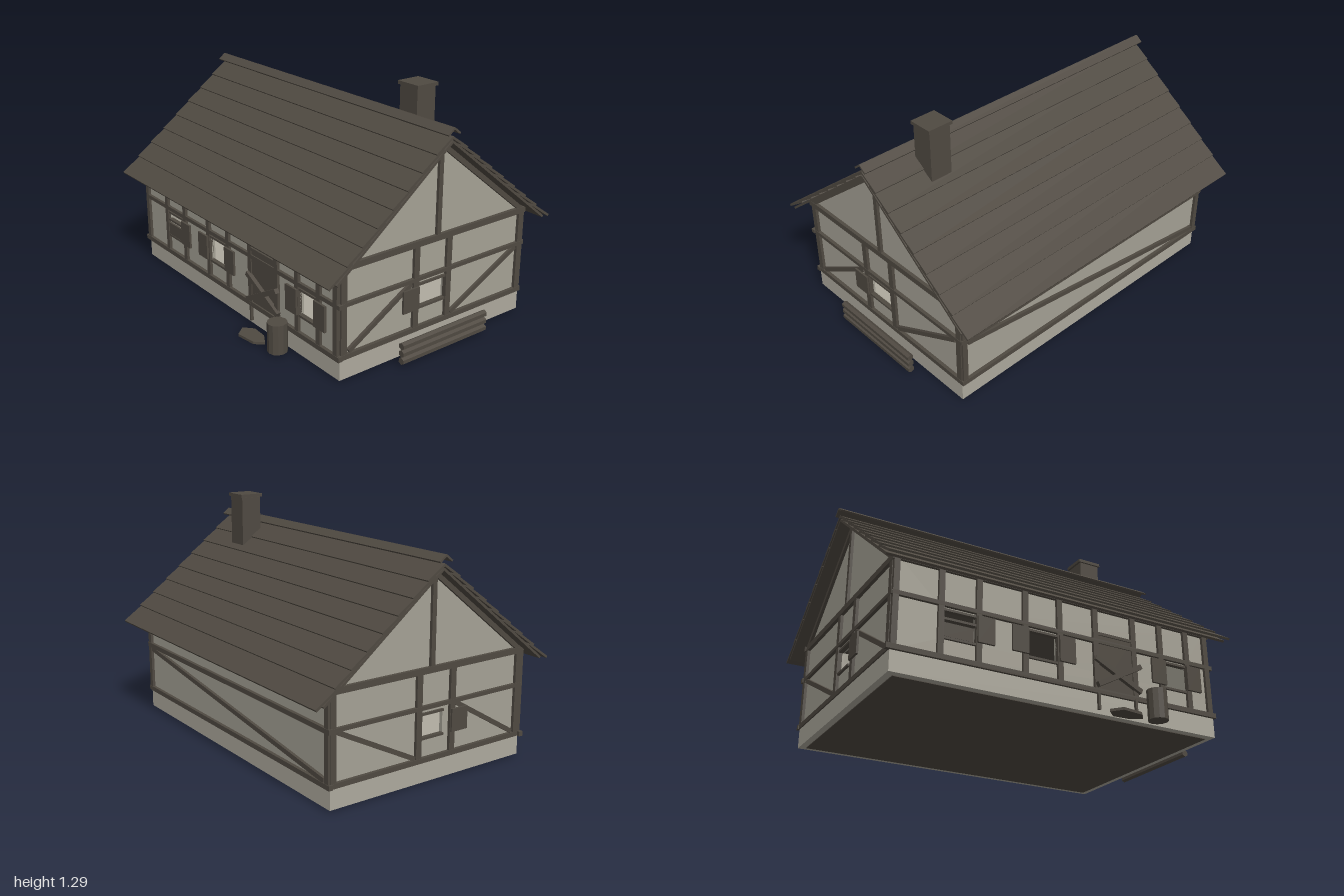
import * as THREE from 'three';

const mat = (name, color) => {
  const m = new THREE.MeshStandardMaterial({ color });
  m.name = name;
  return m;
};

export function createModel() {
  const wood = mat('dark wood', 0x504a42);
  const plaster = mat('plaster', 0xa6a296);
  const stone = mat('foundation stone', 0xaeaa9e);
  const house = new THREE.Group();
  house.name = 'timberHouse';

  const add = (parent, name, geo, material, x = 0, y = 0, z = 0) => {
    const m = new THREE.Mesh(geo, material);
    m.name = name;
    m.position.set(x, y, z);
    parent.add(m);
    return m;
  };
  const box = (parent, name, material, w, h, d, x, y, z) =>
    add(parent, name, new THREE.BoxGeometry(w, h, d), material, x, y, z);

  // Each facade is drawn in its own plane: u across, v up, outward is local +z
  const facade = (name, x, z, turn) => {
    const g = new THREE.Group();
    g.name = name;
    g.position.set(x, 0, z);
    g.rotation.y = turn;
    house.add(g);
    return g;
  };
  const beam = (g, name, u1, v1, u2, v2, w = 0.03, out = 0.004) => {
    const len = Math.hypot(u2 - u1, v2 - v1);
    const m = box(g, name, wood, len, w, 0.024, (u1 + u2) / 2, (v1 + v2) / 2, out);
    m.rotation.z = Math.atan2(v2 - v1, u2 - u1);
  };
  const panel = (g, name, u1, u2, v1, v2, out = 0.024) =>
    box(g, name, wood, Math.abs(u2 - u1), v2 - v1, 0.012, (u1 + u2) / 2, (v1 + v2) / 2, out);
  const wall = (g, outline, holes) => {
    const shape = new THREE.Shape(outline.map(p => new THREE.Vector2(...p)));
    for (const [a, b, c, d] of holes) {
      const h = new THREE.Path();
      h.moveTo(a, c); h.lineTo(a, d); h.lineTo(b, d); h.lineTo(b, c); h.closePath();
      shape.holes.push(h);
    }
    const geo = new THREE.ExtrudeGeometry(shape, { depth: 0.02, bevelEnabled: false });
    add(g, 'plasterWall', geo, plaster, 0, 0, -0.02);
  };

  // Foundation and floor
  box(house, 'foundation', stone, 1.83, 0.11, 1.22, -0.003, 0.065, -0.006);
  box(house, 'floorUnderside', wood, 1.76, 0.006, 1.15, -0.003, 0.009, -0.006);

  // Front wall: three windows and a door
  const front = facade('frontWall', 0, 0.6, 0);
  const windows = [[-0.66, -0.49], [-0.21, -0.045], [0.603, 0.745]];
  wall(front, [[-0.9, 0.12], [0.895, 0.12], [0.895, 0.6], [-0.9, 0.6]],
    windows.map(([a, b]) => [a, b, 0.23, 0.37]));
  for (const x of [-0.905, -0.675, -0.477, -0.225, -0.03, 0.182, 0.415, 0.588, 0.76, 0.89])
    beam(front, 'frontPost', x, 0.12, x, 0.6);
  beam(front, 'frontSill', -0.94, 0.127, 0.922, 0.127, 0.026, 0.006);
  beam(front, 'frontMidRail', -0.92, 0.397, 0.925, 0.397, 0.022);
  beam(front, 'frontTopRail', -0.92, 0.585, 0.915, 0.585);
  for (const [a, b] of windows) {
    beam(front, 'windowHeader', a, 0.37, b, 0.37, 0.012, 0);
    beam(front, 'windowSill', a, 0.228, b, 0.228, 0.012, 0);
  }
  for (const [a, b] of [[-0.49, -0.4], [-0.305, -0.215], [-0.04, 0.05], [0.515, 0.605], [0.742, 0.83]])
    panel(front, 'frontShutter', a, b, 0.235, 0.372);
  panel(front, 'fallenShutter', -0.66, -0.505, 0.235, 0.305, 0.005);
  beam(front, 'windowCrossbar', -0.66, 0.325, -0.49, 0.325, 0.012, 0);

  // Door with crossed boards and threshold legs
  panel(front, 'door', 0.195, 0.402, 0.12, 0.435, 0.004);
  beam(front, 'doorHeader', 0.19, 0.44, 0.41, 0.44, 0.016);
  beam(front, 'doorBoard', 0.17, 0.3, 0.44, 0.165, 0.026, 0.02);
  beam(front, 'doorBoard', 0.175, 0.155, 0.44, 0.3, 0.026, 0.026);
  for (const x of [0.187, 0.41]) beam(front, 'doorLeg', x, 0.03, x, 0.13, 0.012, 0.008);

  // Back wall with one long brace
  const back = facade('backWall', 0, -0.612, Math.PI);
  wall(back, [[-0.895, 0.12], [0.9, 0.12], [0.9, 0.6], [-0.895, 0.6]], []);
  for (const x of [-0.895, 0.905]) beam(back, 'backPost', x, 0.12, x, 0.6);
  for (const y of [0.127, 0.397, 0.585]) beam(back, 'backRail', -0.915, y, 0.93, y, 0.026, 0.006);
  beam(back, 'backBrace', -0.87, 0.375, 0.88, 0.15, 0.026);

  // Gable walls; s is the side of the house, z maps to local u
  for (const s of [1, -1]) {
    const g = facade(s > 0 ? 'leftGable' : 'rightGable', s > 0 ? 0.9 : -0.907, 0, s * Math.PI / 2);
    const u = z => -s * z;
    const edge = s > 0 ? 0.115 : 0.075;
    wall(g, [[u(0.6), 0.12], [u(-0.612), 0.12], [u(-0.612), 0.59], [u(-0.008), 1.075], [u(0.6), 0.59]],
      [[u(edge), u(-0.07), 0.24, 0.36]]);
    for (const z of [0.58, 0.13, -0.086, -0.6])
      beam(g, 'gablePost', u(z), 0.12, u(z), 0.59, 0.034);
    for (const [y, w] of [[0.128, 0.026], [0.397, 0.02], [0.584, 0.032]])
      beam(g, 'gableRail', u(0.612), y, u(-0.628), y, w, 0.006);
    beam(g, 'kingPost', u(-0.008), 0.59, u(-0.008), 1.06, 0.026);
    beam(g, 'gableBrace', u(0.548), 0.15, u(0.16), 0.382, 0.024);
    beam(g, 'gableBrace', u(-0.11), 0.147, u(-0.57), 0.382, 0.024);
    for (const z of [0.59, -0.606]) beam(g, 'rakeBeam', u(-0.008), 1.06, u(z), 0.585, 0.026);
    beam(g, 'windowHeader', u(edge), 0.363, u(-0.07), 0.363, 0.012, 0);
    beam(g, 'windowSill', u(edge), 0.238, u(-0.07), 0.238, 0.012, 0);
    panel(g, 'gableShutter', u(0.22), u(0.117), 0.24, 0.36, 0.02);
  }

  // Roof: an under-sheet and overlapping plank rows on each slope
  const pitch = Math.atan(0.79), ridgeZ = -0.013;
  for (const s of [1, -1]) {
    const slab = (name, h, y, length, tilt, x1, x2, thick) => {
      const m = box(house, name, wood, x2 - x1, thick, length, (x1 + x2) / 2,
        y + Math.sin(tilt) * length / 2, ridgeZ + s * (h - Math.cos(tilt) * length / 2));
      m.rotation.x = s * tilt;
    };
    slab('roofSheet', 0.685, 0.545, 0.685 / Math.cos(pitch), pitch, -0.985, 0.978, 0.012);
    for (let i = 0; i < 8; i++) {
      const h = i === 0 ? 0.73 : 0.715 - 0.088 * i;
      slab('roofPlankRow', h, 1.117 - 0.79 * h, Math.min(0.16, h / 0.8), pitch - 0.07, -0.99, 0.977, 0.012);
    }
    slab('ridgeCap', 0.038, 1.123, 0.048, pitch, -1, 0.985, 0.01);
  }

  // Chimney
  box(house, 'chimney', wood, 0.125, 0.42, 0.12, 0.622, 1.06, -0.111);
  box(house, 'chimneyCap', wood, 0.145, 0.018, 0.136, 0.622, 1.281, -0.112);

  // Stacked logs beside the gable
  for (const y of [0.03, 0.07, 0.11]) {
    const log = add(house, 'stackedLog', new THREE.CylinderGeometry(0.019, 0.019, 0.57, 6).toNonIndexed(),
      wood, 0.98, y, -0.008);
    log.geometry.computeVertexNormals();
    log.rotation.x = Math.PI / 2;
  }

  // Barrel with staves, and a step stone
  const staves = new THREE.CylinderGeometry(0.052, 0.052, 0.16, 12).toNonIndexed();
  staves.computeVertexNormals();
  add(house, 'barrel', staves, wood, 0.5, 0.09, 0.668);
  const slabShape = new THREE.Shape([[-0.1, 0.005], [-0.055, -0.05], [0.06, -0.035], [0.1, 0.01],
    [0.04, 0.045], [-0.05, 0.05]].map(p => new THREE.Vector2(...p)));
  const step = add(house, 'stepStone', new THREE.ExtrudeGeometry(slabShape, { depth: 0.014, bevelEnabled: false }),
    wood, 0.3, 0, 0.685);
  step.rotation.x = -Math.PI / 2;

  return house;
}
